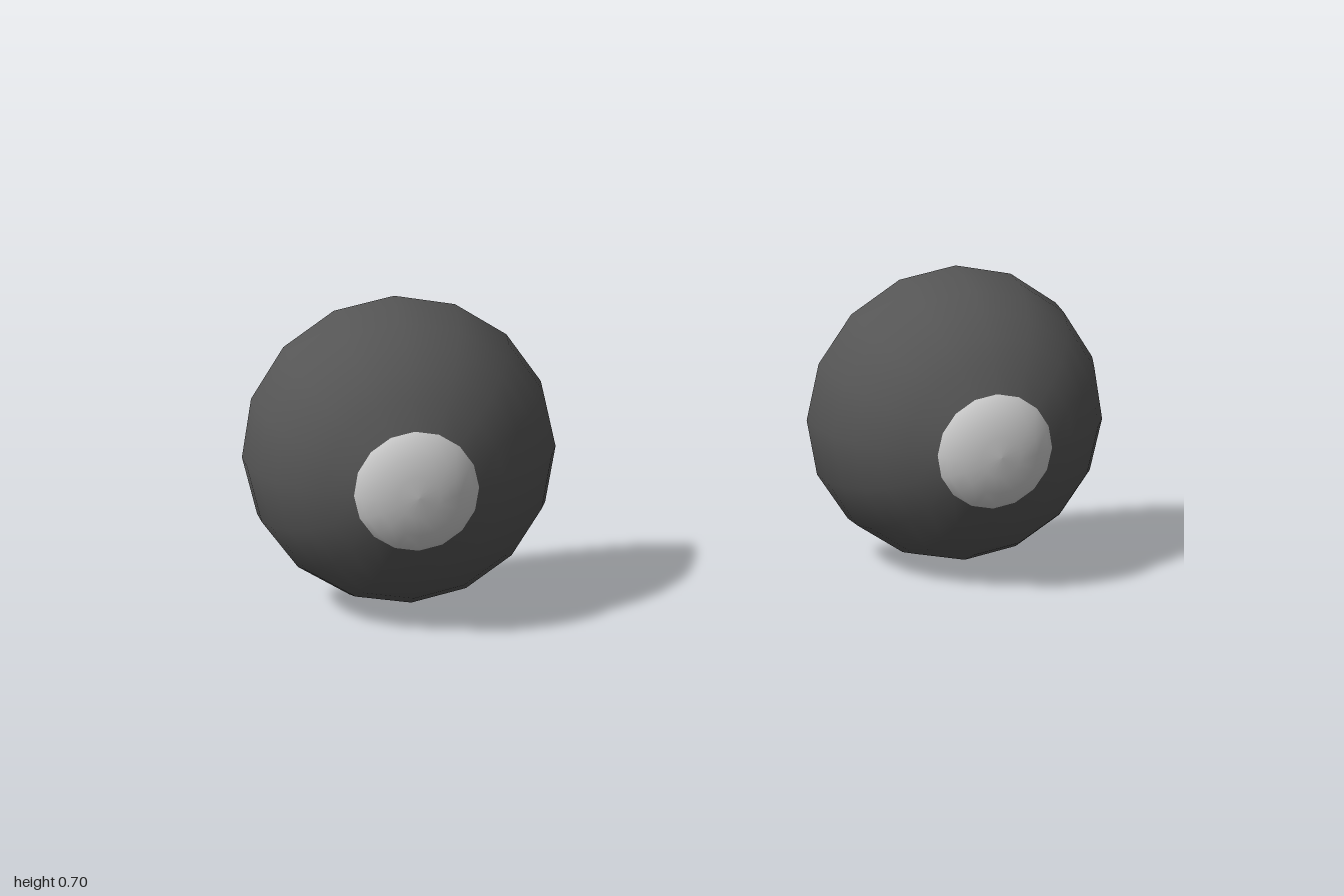
import * as THREE from 'three';

const RADIUS = 0.351, CENTRE_X = 0.649, BACK_Z = -0.186, SIDES = 16;

// Surface of revolution whose axis points to the front (+z)
function turned(name, profile, material) {
  const points = profile.map(([r, z]) => new THREE.Vector2(r, z));
  const geometry = new THREE.LatheGeometry(points, SIDES).rotateX(Math.PI / 2);
  const mesh = new THREE.Mesh(geometry, material);
  mesh.name = name;
  return mesh;
}

export function createModel() {
  const model = new THREE.Group();
  model.name = 'eyes';
  const dark = new THREE.MeshStandardMaterial({ color: 0x555555, side: THREE.DoubleSide });
  const light = new THREE.MeshStandardMaterial({ color: 0xcccccc, side: THREE.DoubleSide });

  // Open half sphere, cut off at the front where the pupil sits
  const shellProfile = [];
  for (let i = 0; i <= 6; i++) {
    const a = (i * Math.PI) / 16;
    shellProfile.push([RADIUS * Math.cos(a), RADIUS * Math.sin(a)]);
  }
  // Shallow dome closing the opening
  const [rimR, rimZ] = shellProfile[6];
  const pupilProfile = [
    [rimR, rimZ], [0.121, 0.34], [0.089, 0.358], [0.046, 0.369], [0, 0.372],
  ];

  for (const [side, name] of [[1, 'leftEye'], [-1, 'rightEye']]) {
    const eye = new THREE.Group();
    eye.name = name;
    eye.add(turned('shell', shellProfile, dark), turned('pupil', pupilProfile, light));
    eye.position.set(side * CENTRE_X, RADIUS, BACK_Z);
    model.add(eye);
  }
  return model;
}
